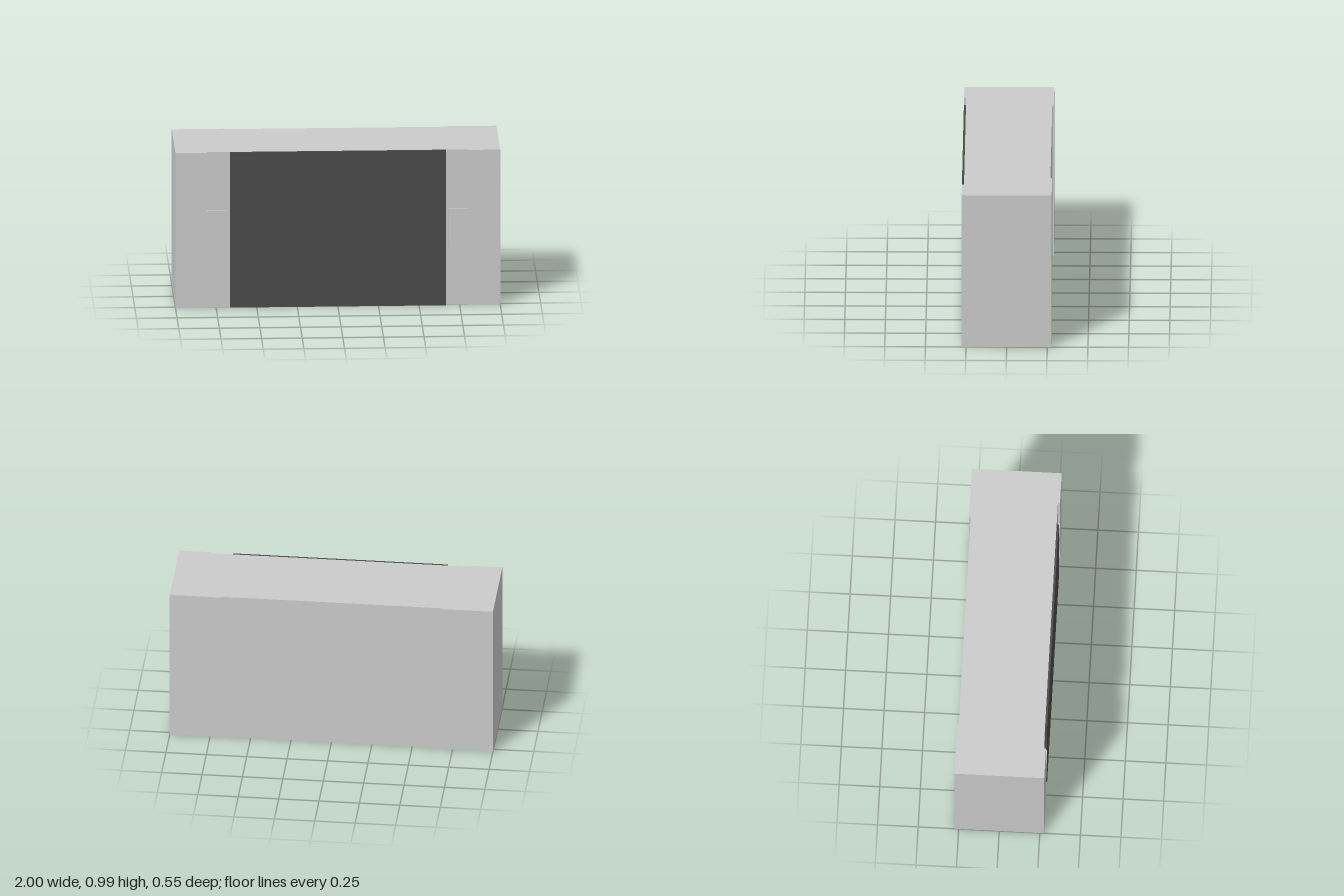
import * as THREE from 'three';

const H = 0.99;                       // overall height
const FRONT = 0.277, BACK = -0.277;   // outer faces of the terminals
const BODY_FRONT = 0.264, BODY_BACK = -0.267;
const PLATE = 0.015;                  // end plate thickness

export function createModel() {
  const group = new THREE.Group();
  group.name = 'chipResistor';
  const grey = new THREE.MeshStandardMaterial({ color: 0xcccccc });
  const dark = new THREE.MeshStandardMaterial({ color: 0x4a4a4a });

  const add = (parent, name, geometry, material = grey) => {
    const mesh = new THREE.Mesh(geometry, material);
    mesh.name = name;
    parent.add(mesh);
  };
  // Full-height box between two x and two z limits
  const slab = (x0, x1, z0, z1) =>
    new THREE.BoxGeometry(x1 - x0, H, z1 - z0)
      .translate((x0 + x1) / 2, H / 2, (z0 + z1) / 2);

  // Ceramic block and the dark coating on its front
  add(group, 'body', slab(-1 + PLATE, 1 - PLATE, BODY_BACK, BODY_FRONT));
  add(group, 'coating', slab(-0.665, 0.665, BODY_FRONT, FRONT), dark);

  // Front pad outline with its central tab reaching towards the coating
  const pad = new THREE.Shape([
    [1, 0], [1, H], [0.805, H], [0.805, 0.617],
    [0.68, 0.617], [0.68, 0.375], [0.805, 0.375], [0.805, 0],
  ].map(([x, y]) => new THREE.Vector2(x, y)));

  // Wrap-around terminals, identical under a half turn about y only at the
  // ends, so the left one is mirrored point by point
  for (const side of [1, -1]) {
    const terminal = new THREE.Group();
    terminal.name = side > 0 ? 'leftTerminal' : 'rightTerminal';
    const span = (a, b) => (side > 0 ? [a, b] : [-b, -a]);
    const outline = new THREE.Shape(
      pad.getPoints().map((p) => new THREE.Vector2(p.x * side, p.y)));
    add(terminal, 'endPlate', slab(...span(1 - PLATE, 1), BODY_BACK, BODY_FRONT));
    add(terminal, 'backPad', slab(...span(0.68, 1), BACK, BODY_BACK));
    add(terminal, 'frontPad', new THREE.ExtrudeGeometry(outline, {
      depth: FRONT - BODY_FRONT, bevelEnabled: false,
    }).translate(0, 0, BODY_FRONT));
    group.add(terminal);
  }
  return group;
}
